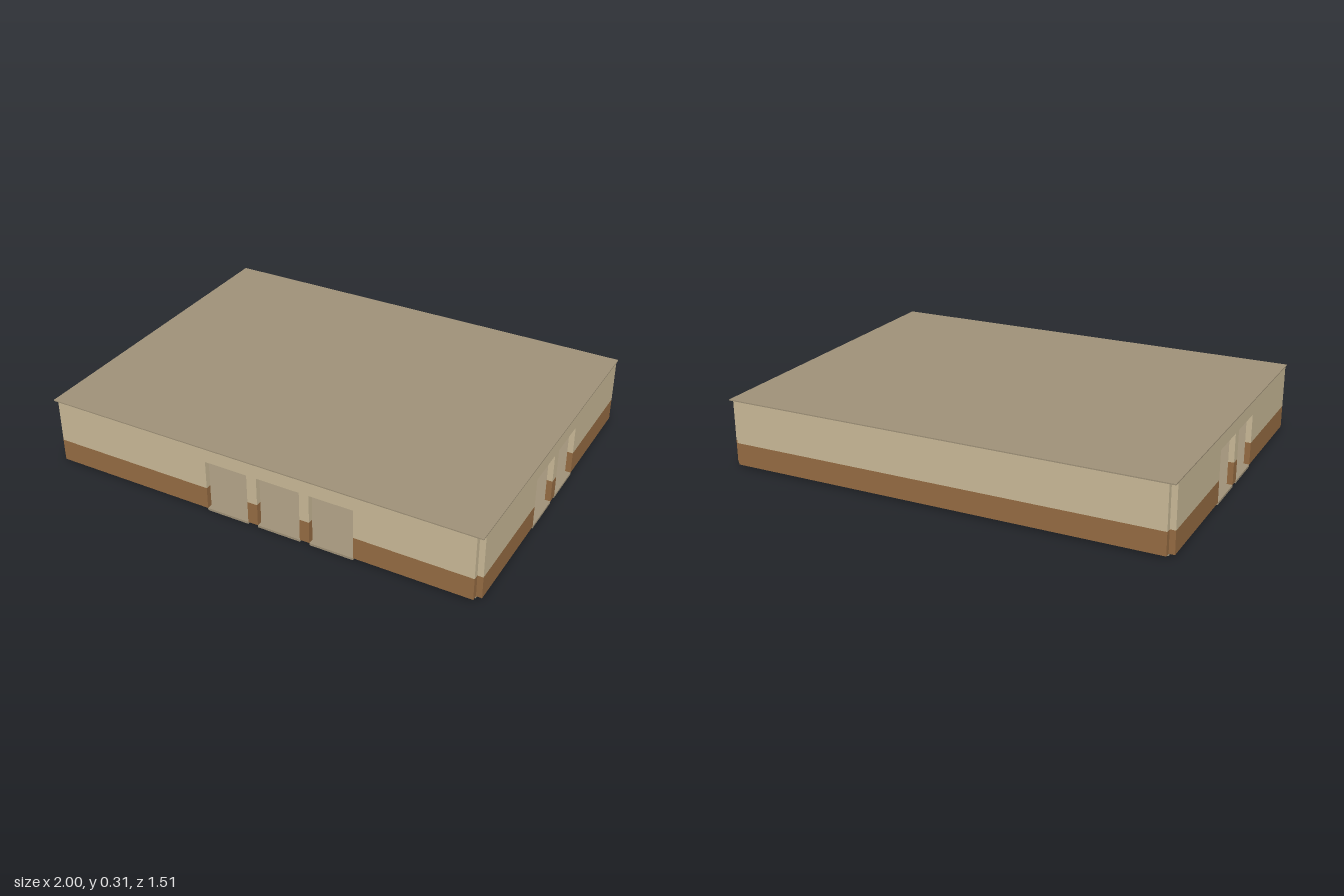
import * as THREE from 'three';

const HX = 1, HZ = 0.755;          // outer half sizes
const T = 0.025;                   // wall thickness
const BASE = 0.01, BAND = 0.11, DOOR = 0.24, TOP = 0.3, ROOF = 0.305;

function material(name, color) {
  const m = new THREE.MeshStandardMaterial({ color });
  m.name = name;
  return m;
}

export function createModel() {
  const cream = material('cream wall', 0xc9b997);
  const brown = material('brown wood', 0x956b42);
  const taupe = material('taupe slab', 0x9f9178);
  const model = new THREE.Group();
  model.name = 'pavilion';

  // Box given by its lower and upper corners
  function box(name, mat, x0, x1, y0, y1, z0, z1, parent = model) {
    const mesh = new THREE.Mesh(new THREE.BoxGeometry(x1 - x0, y1 - y0, z1 - z0), mat);
    mesh.position.set((x0 + x1) / 2, (y0 + y1) / 2, (z0 + z1) / 2);
    mesh.name = name;
    parent.add(mesh);
    return mesh;
  }

  // Wall along local x, outer face on local +z, with doorways cut as notches
  function wall(name, half, distance, angle, doors) {
    const group = new THREE.Group();
    group.name = name;
    group.rotation.y = angle;
    const z0 = distance - T;

    const shape = new THREE.Shape();
    shape.moveTo(-half, BAND);
    for (const [a, b] of doors) {
      shape.lineTo(a, BAND);
      shape.lineTo(a, DOOR);
      shape.lineTo(b, DOOR);
      shape.lineTo(b, BAND);
    }
    shape.lineTo(half, BAND);
    shape.lineTo(half, TOP);
    shape.lineTo(-half, TOP);
    const upper = new THREE.Mesh(
      new THREE.ExtrudeGeometry(shape, { depth: T, bevelEnabled: false }), cream);
    upper.position.z = z0;
    upper.name = 'upperWall';
    group.add(upper);

    // Brown band between the doorways, and a threshold in each
    let start = -half;
    for (const [a, b] of [...doors, [half, half]]) {
      box('lowerBand', brown, start, a, BASE, BAND, z0, distance, group);
      if (b > a) box('threshold', taupe, a, b, 0, BASE, z0, distance, group);
      start = b;
    }
    model.add(group);
  }

  const sideDoors = [[-0.22, -0.022], [0.022, 0.22]];
  const frontDoors = [[-0.223, -0.025], [0.021, 0.219], [0.263, 0.461]];
  wall('frontWall', HX - T, HZ, 0, frontDoors);
  wall('backWall', HX - T, HZ, Math.PI, []);
  wall('leftWall', HZ - T, HX, Math.PI / 2, sideDoors);
  wall('rightWall', HZ - T, HX, -Math.PI / 2, sideDoors);

  // Floor and flat roof
  box('floor', taupe, -HX + T, HX - T, 0, BASE, -HZ + T, HZ - T);
  box('roof', taupe, -HX, HX, TOP, ROOF, -HZ, HZ);

  // U-shaped reception desk with two screens
  const deskX = 0.12, deskTop = 0.1;
  box('deskFront', brown, deskX - 0.25, deskX + 0.25, BASE, deskTop, 0.23, 0.3);
  for (const s of [-1, 1]) {
    const arm = deskX + s * 0.215;
    box('deskArm', brown, arm - 0.035, arm + 0.035, BASE, deskTop, 0.09, 0.23);
    const screen = deskX + s * 0.07;
    box('screen', taupe, screen - 0.05, screen + 0.05, 0.13, 0.18, 0.25, 0.258);
  }
  return model;
}
